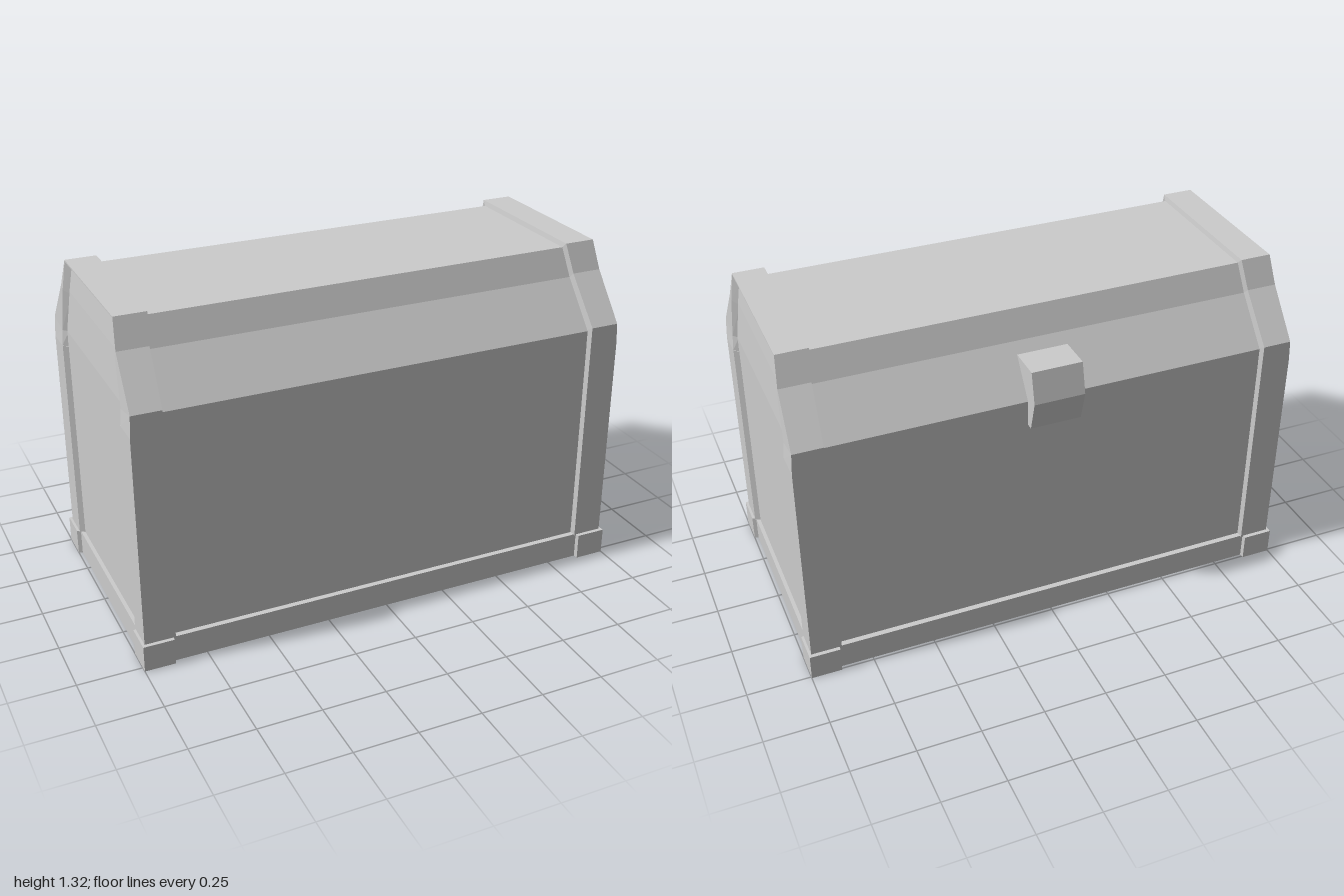
import * as THREE from 'three';

// Skin a list of closed rings; corners run counter-clockwise seen from the far end.
function loft(rings) {
  const pos = [];
  const tri = (a, b, c) => pos.push(...a, ...b, ...c);
  const n = rings[0].length;
  for (let i = 0; i < rings.length - 1; i++) {
    for (let j = 0; j < n; j++) {
      const k = (j + 1) % n;
      tri(rings[i][j], rings[i][k], rings[i + 1][k]);
      tri(rings[i][j], rings[i + 1][k], rings[i + 1][j]);
    }
  }
  const first = rings[0], last = rings[rings.length - 1];
  for (let j = 1; j < n - 1; j++) {
    tri(first[0], first[j + 1], first[j]);
    tri(last[0], last[j], last[j + 1]);
  }
  const g = new THREE.BufferGeometry();
  g.setAttribute('position', new THREE.Float32BufferAttribute(pos, 3));
  g.computeVertexNormals();
  return g;
}

// Mirror rings across x and/or z, keeping the winding outward.
function mirrorRings(rings, sx, sz) {
  return rings.map((ring) => {
    const r = ring.map(([x, y, z]) => [x * sx, y, z * sz]);
    return sx * sz < 0 ? r.reverse() : r;
  });
}

export function createModel() {
  const model = new THREE.Group();
  model.name = 'chest';
  const grey = new THREE.MeshStandardMaterial({ color: 0xcccccc, flatShading: true });
  grey.name = 'light grey';

  const shell = new THREE.Group();
  shell.name = 'shell';
  shell.position.z = 0.009;
  model.add(shell);

  const add = (name, geometry, parent = shell) => {
    const mesh = new THREE.Mesh(geometry, grey);
    mesh.name = name;
    parent.add(mesh);
  };

  // Box and faceted lid: [y, half width, half depth]
  const rect = (y, x, z) => [[x, y, z], [x, y, -z], [-x, y, -z], [-x, y, z]];
  add('body', loft([rect(0.02, 0.97, 0.475), rect(1.01, 0.97, 0.475)]));
  add('lid', loft([
    rect(1.01, 0.97, 0.475), rect(1.19, 0.96, 0.34), rect(1.3, 0.95, 0.295),
  ]));
  add('baseTrim', loft([rect(0, 0.985, 0.497), rect(0.105, 0.985, 0.497)]));

  // Corner posts and their wider feet, with chamfered inner edges
  const corner = (y, xi, xo, zo, zi) => [
    [xi, y, zo], [xo, y, zo], [xo, y, zi], [0.96, y, zi - 0.02], [xi - 0.005, y, 0.46],
  ];
  const post = [corner(0.1, 0.87, 0.99, 0.5, 0.385), corner(0.945, 0.87, 0.99, 0.5, 0.385)];
  const foot = [corner(0, 0.88, 1, 0.516, 0.395), corner(0.105, 0.88, 1, 0.516, 0.395)];
  for (const sx of [1, -1]) {
    for (const sz of [1, -1]) {
      add('cornerPost', loft(mirrorRings(post, sx, sz)));
      add('cornerFoot', loft(mirrorRings(foot, sx, sz)));
    }
  }

  // Lid straps: a band over each end of the lid, swept front to back
  const half = [
    [[0.87, 0.945, 0.5], [0.99, 0.945, 0.5], [0.99, 0.945, 0.39], [0.965, 0.945, 0.37], [0.865, 0.945, 0.465]],
    [[0.87, 1.03, 0.5], [0.985, 1.03, 0.5], [0.985, 1.01, 0.39], [0.965, 1.01, 0.367], [0.865, 1.01, 0.465]],
    [[0.86, 1.21, 0.36], [0.98, 1.21, 0.36], [0.98, 1.19, 0.345], [0.955, 1.18, 0.315], [0.855, 1.18, 0.33]],
    [[0.847, 1.32, 0.315], [0.97, 1.32, 0.315], [0.97, 1.314, 0.315], [0.945, 1.298, 0.285], [0.842, 1.29, 0.285]],
    [[0.847, 1.32, 0.155], [0.97, 1.32, 0.155], [0.97, 1.314, 0.155], [0.955, 1.295, 0.155], [0.842, 1.29, 0.155]],
  ];
  const back = half.map((ring) => ring.map(([x, y, z]) => [x, y, -z])).reverse();
  const strap = [...half, ...back];
  for (const sx of [1, -1]) add('lidStrap', loft(mirrorRings(strap, sx, 1)));

  // Latch: side profile [z, y] pulled across x
  const profile = [[-0.45, 0.91], [-0.495, 0.91], [-0.525, 1.03], [-0.495, 1.15], [-0.335, 1.15]];
  add('latch', loft([-0.1, 0.1].map((x) => profile.map(([z, y]) => [x, y, z]))), model);

  return model;
}
